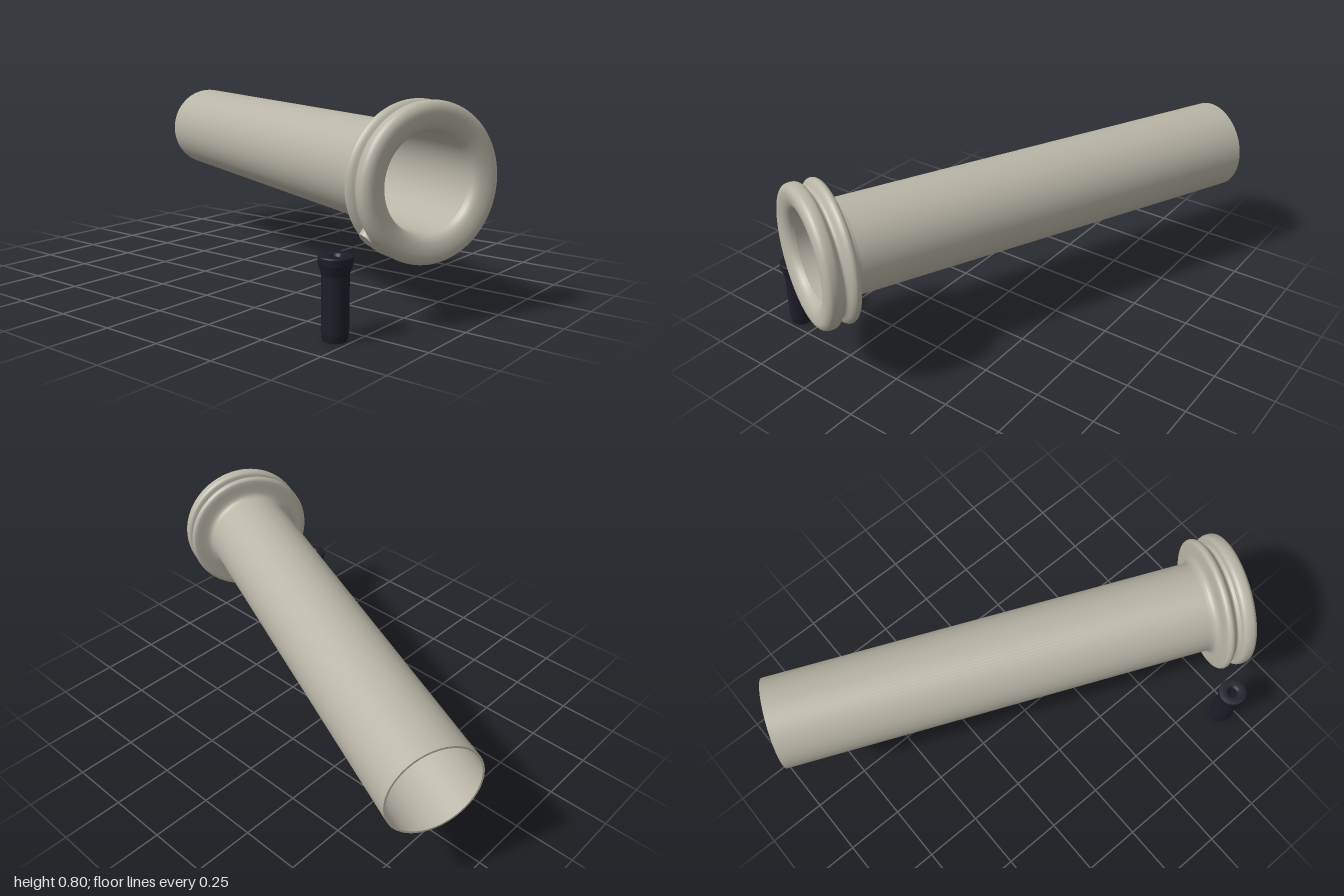
import * as THREE from 'three';
import { mergeGeometries } from 'three/addons/utils/BufferGeometryUtils.js';

// Lathe several profile runs into one geometry; runs meet in sharp edges.
function turn(runs, sides) {
  return mergeGeometries(runs.map(({ pts, smooth }) => {
    let v = pts.map(([r, y]) => new THREE.Vector2(r, y));
    if (smooth) v = new THREE.SplineCurve(v).getPoints(smooth);
    return new THREE.LatheGeometry(v, sides);
  }));
}

export function createModel() {
  const model = new THREE.Group();
  const beige = new THREE.MeshStandardMaterial({ color: 0xb8b5a6 });
  beige.name = 'beige';
  const black = new THREE.MeshStandardMaterial({ color: 0x1d1d29 });
  black.name = 'black';

  const add = (parent, name, geometry, material) => {
    const mesh = new THREE.Mesh(geometry, material);
    mesh.name = name;
    parent.add(mesh);
    return mesh;
  };

  // Sleeve assembly, built along local y from the open back end
  const sleeve = new THREE.Group();
  sleeve.name = 'sleeve';
  sleeve.position.set(-0.925, 0.515, -0.485);
  sleeve.rotation.set(0, -THREE.MathUtils.degToRad(23.5), -Math.PI / 2);
  model.add(sleeve);

  // Thin-walled straight tube
  add(sleeve, 'tube', turn([
    { pts: [[0.192, 0], [0.192, 1.82]] },
    { pts: [[0.18, 1.94], [0.184, 0]] },
    { pts: [[0.184, 0], [0.192, 0]] },
  ], 96), beige);

  // Collar: fillet, rear ridge, groove, front lip and rolled mouth
  add(sleeve, 'collar', turn([
    { pts: [[0.192, 1.815], [0.197, 1.834], [0.215, 1.846], [0.26, 1.85]], smooth: 16 },
    { pts: [[0.26, 1.85], [0.276, 1.853], [0.284, 1.862], [0.284, 1.874], [0.274, 1.886],
      [0.256, 1.897], [0.25, 1.907], [0.258, 1.918]], smooth: 32 },
    { pts: [[0.258, 1.918], [0.276, 1.922], [0.284, 1.932], [0.286, 1.95], [0.282, 1.968],
      [0.268, 1.98], [0.25, 1.984], [0.225, 1.981], [0.202, 1.972], [0.187, 1.958], [0.18, 1.94]], smooth: 48 },
  ], 96), beige);

  // Small inlet stub bridging the collar groove
  const radial = new THREE.Vector3(0.175, 0, 0.206).normalize();
  const stub = add(sleeve, 'inletStub', new THREE.CylinderGeometry(0.03, 0.042, 0.05, 24), beige);
  stub.position.copy(radial).multiplyScalar(0.265).setY(1.9);
  stub.quaternion.setFromUnitVectors(new THREE.Vector3(0, 1, 0), radial);

  // Separate hollow plug standing upright
  const plug = add(model, 'plug', turn([
    { pts: [[0.018, 0], [0.042, 0]] },
    { pts: [[0.042, 0], [0.045, 0.012], [0.048, 0.028]] },
    { pts: [[0.048, 0.028], [0.048, 0.23]] },
    { pts: [[0.048, 0.23], [0.06, 0.268]] },
    { pts: [[0.06, 0.268], [0.061, 0.292]] },
    { pts: [[0.061, 0.292], [0.058, 0.296], [0.03, 0.296], [0.022, 0.293], [0.018, 0.285]] },
    { pts: [[0.018, 0.285], [0.018, 0]] },
  ], 48), black);
  plug.position.set(0.692, 0, 0.595);

  return model;
}
